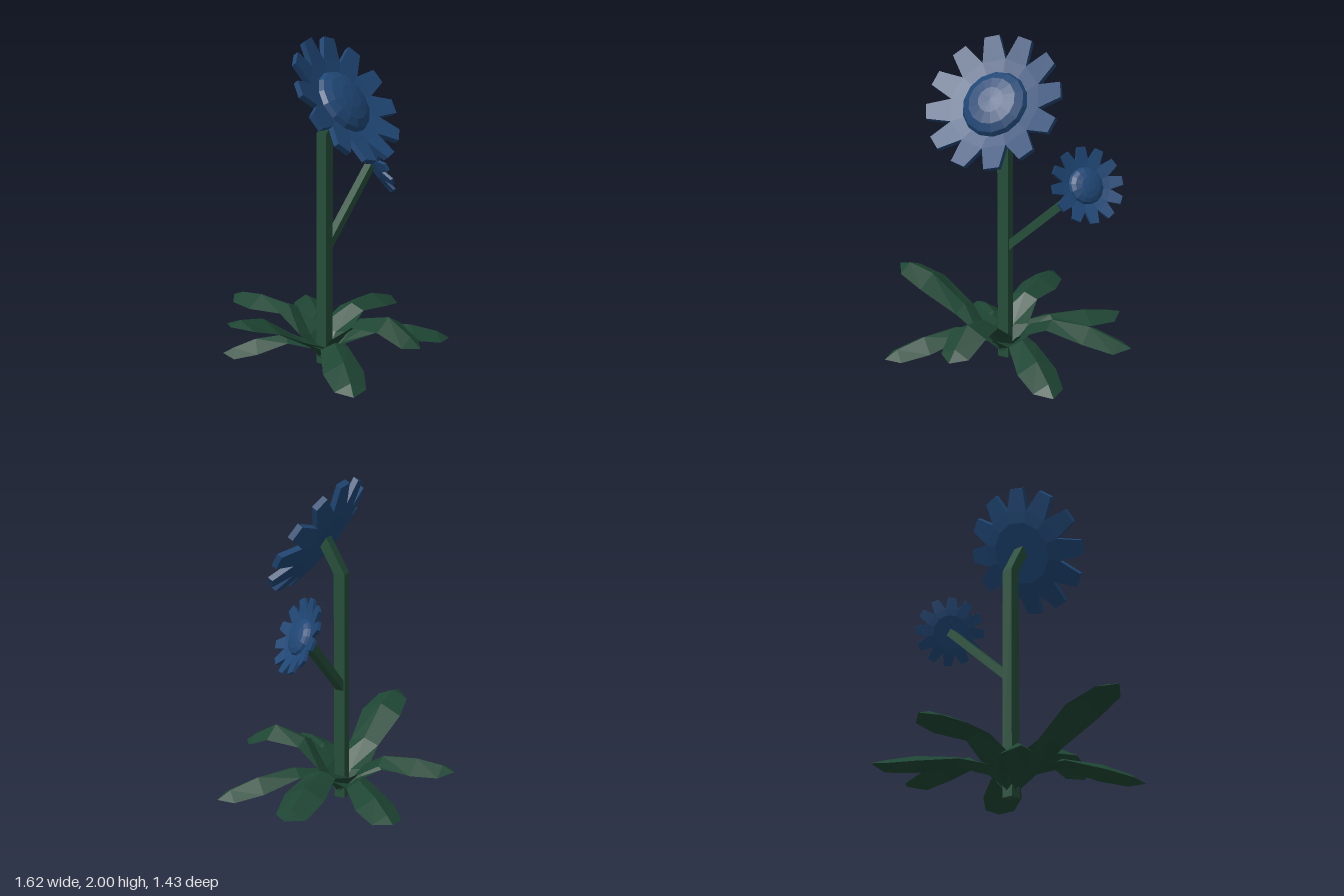
import * as THREE from 'three';

const mat = (name, color) => {
  const m = new THREE.MeshStandardMaterial({ color, flatShading: true });
  m.name = name;
  return m;
};

function meshFrom(name, positions, material) {
  const g = new THREE.BufferGeometry();
  g.setAttribute('position', new THREE.Float32BufferAttribute(positions, 3));
  g.computeVertexNormals();
  const mesh = new THREE.Mesh(g, material);
  mesh.name = name;
  return mesh;
}

// Cupped twelve-petal head: one 30 degree sector repeated, front, back and rim
function petalDisc(material) {
  const pos = [];
  const polar = (deg, r, z) => {
    const a = THREE.MathUtils.degToRad(deg);
    return [Math.cos(a) * r, Math.sin(a) * r, z];
  };
  const tri = (a, b, c) => pos.push(...a, ...b, ...c);
  for (let k = 0; k < 12; k++) {
    const a = k * 30;
    const sector = (dz) => ({
      c: [0, 0, dz],
      i0: polar(a, 0.2, dz), i1: polar(a + 30, 0.2, dz),
      v0: polar(a, 0.275, 0.015 + dz), v1: polar(a + 30, 0.275, 0.015 + dz),
      o0: polar(a + 8.5, 0.41, 0.05 + dz), o1: polar(a + 21.5, 0.41, 0.05 + dz),
    });
    const f = sector(0), b = sector(-0.035);
    for (const [p, q, r] of [['c', 'i0', 'i1'], ['i0', 'v0', 'v1'], ['i0', 'v1', 'i1'],
      ['v0', 'o0', 'o1'], ['v0', 'o1', 'v1']]) {
      tri(f[p], f[q], f[r]);
      tri(b[p], b[r], b[q]);
    }
    for (const [p, q] of [['v0', 'o0'], ['o0', 'o1'], ['o1', 'v1']]) {
      tri(f[p], b[p], b[q]);
      tri(f[p], b[q], f[q]);
    }
  }
  return meshFrom('petals', pos, material);
}

function flower(name, position, normal, scale, roll, material) {
  const group = new THREE.Group();
  group.name = name;
  // Low dome on the front only
  const domeGeo = new THREE.SphereGeometry(0.2, 14, 4, 0, Math.PI * 2, 0, Math.PI / 2);
  domeGeo.rotateX(Math.PI / 2).scale(1, 1, 0.36);
  const dome = new THREE.Mesh(domeGeo, material);
  dome.name = 'flowerCentre';
  group.add(petalDisc(material), dome);
  group.position.set(...position);
  group.lookAt(new THREE.Vector3(...position).add(new THREE.Vector3(...normal)));
  group.rotateZ(roll);
  group.scale.setScalar(scale);
  return group;
}

// Leaf: rows of left edge, midrib and right edge; a trough at the base, a ridge further out
const ROW_T = [0, 0.15, 0.38, 0.68, 0.9, 1];
const ROW_WIDTH = [0.04, 0.108, 0.09, 0.125, 0.095, 0];
const ROW_DROP = [-0.01, -0.03, 0.035, 0.065, 0.045, 0];
function leaf(name, [tx, tz], heights, widthScale, material) {
  const bx = -0.01, bz = 0.02;
  const dx = tx - bx, dz = tz - bz, len = Math.hypot(dx, dz);
  const rows = ROW_T.map((t, i) => [-1, 0, 1].map((s) => {
    const w = s * ROW_WIDTH[i] * widthScale;
    return [bx + dx * t - (dz / len) * w, heights[i] - Math.abs(s) * ROW_DROP[i], bz + dz * t + (dx / len) * w];
  }));
  const pos = [];
  for (let i = 0; i < rows.length - 1; i++) {
    for (let j = 0; j < 2; j++) {
      const a = rows[i][j], b = rows[i][j + 1], c = rows[i + 1][j + 1], d = rows[i + 1][j];
      pos.push(...a, ...b, ...c, ...a, ...c, ...d);
    }
  }
  return meshFrom(name, pos, material);
}

export function createModel() {
  const model = new THREE.Group();
  const blue = mat('petalBlue', 0x1f4674);
  const stemGreen = mat('stemGreen', 0x254e39);
  const leafGreen = mat('leafGreen', 0x1e4533);
  leafGreen.side = THREE.DoubleSide;

  // Main stem: square rings moved onto a path that bends forward at the top
  const path = [[1.65, 0.135], [1.44, 0.02], [0, 0.02]];
  const stemGeo = new THREE.CylinderGeometry(0.0495, 0.0495, 2, 4, 2);
  stemGeo.rotateY(Math.PI / 4);
  const p = stemGeo.attributes.position;
  for (let i = 0; i < p.count; i++) {
    const [y, z] = path[Math.round(1 - p.getY(i))];
    p.setXYZ(i, p.getX(i) - 0.01, y, p.getZ(i) + z);
  }
  stemGeo.computeVertexNormals();
  const stem = new THREE.Mesh(stemGeo, stemGreen);
  stem.name = 'mainStem';

  // Side branch: square bar leaning to the left
  const branch = new THREE.Mesh(new THREE.BoxGeometry(0.05, 0.66, 0.05), stemGreen);
  branch.position.set(0.238, 0.944, 0.018);
  branch.rotation.z = -Math.atan2(0.497, 0.448);
  branch.name = 'sideBranch';

  model.add(stem, branch,
    flower('largeFlower', [-0.01, 1.638, 0.155], [0, 0.56, 0.83], 1, 0, blue),
    flower('smallFlower', [0.512, 1.19, 0.037], [0.67, 0.44, 0.59], 0.545, Math.PI / 12, blue));

  // Ring of leaves: tip position, midrib heights, width
  const leaves = [
    ['backLeaf', [0, -0.72], [0.03, 0.16, 0.32, 0.345, 0.33, 0.3], 1],
    ['frontLeaf', [-0.03, 0.71], [0.03, 0.16, 0.345, 0.4, 0.31, 0.255], 0.95],
    ['rightLeaf', [-0.81, -0.05], [0.03, 0.13, 0.28, 0.44, 0.48, 0.46], 1.12],
    ['leftLeaf', [0.81, 0], [0.03, 0.16, 0.3, 0.3, 0.24, 0.21], 1],
    ['backLeftLeaf', [0.55, -0.54], [0.03, 0.13, 0.23, 0.23, 0.2, 0.18], 0.95],
    ['backRightLeaf', [-0.45, -0.43], [0.03, 0.1, 0.2, 0.18, 0.13, 0.1], 0.8],
    ['frontLeftLeaf', [0.56, 0.585], [0.03, 0.13, 0.24, 0.215, 0.16, 0.11], 0.95],
    ['frontRightLeaf', [-0.54, 0.59], [0.03, 0.13, 0.24, 0.215, 0.16, 0.11], 0.95],
  ];
  for (const [name, tip, heights, width] of leaves) model.add(leaf(name, tip, heights, width, leafGreen));
  return model;
}
